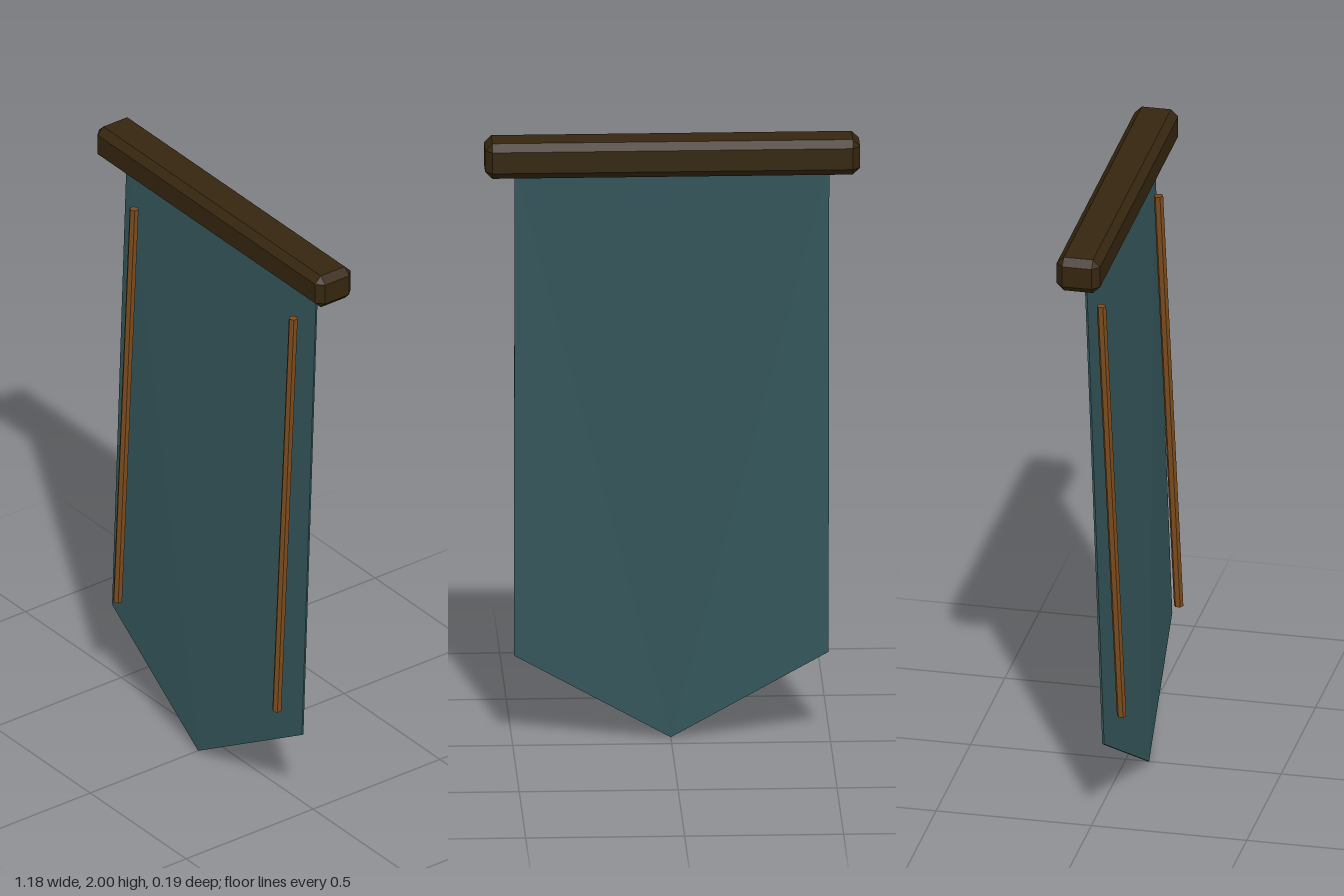
import * as THREE from 'three';
import { ConvexGeometry } from 'three/addons/geometries/ConvexGeometry.js';

const material = (name, color) => {
  const m = new THREE.MeshStandardMaterial({ color });
  m.name = name;
  return m;
};

// Box with every edge and corner chamfered
function chamferedBox(w, h, d, c) {
  const points = [];
  for (const x of [-1, 1]) for (const y of [-1, 1]) for (const z of [-1, 1]) {
    for (let axis = 0; axis < 3; axis++) {
      const half = [w / 2 - c, h / 2 - c, d / 2 - c];
      half[axis] += c;
      points.push(new THREE.Vector3(x * half[0], y * half[1], z * half[2]));
    }
  }
  return new ConvexGeometry(points);
}

// Thin closed pennant, folded forward towards its tip
function pennant(thickness) {
  const outline = [
    [-0.495, 1.9, -0.02], [-0.495, 0.285, 0.037], [0, 0, 0.072],
    [0.495, 0.285, 0.037], [0.495, 1.9, -0.02],
  ];
  const n = outline.length;
  const positions = [];
  const corner = (i, back) => {
    const [x, y, z] = outline[i % n];
    positions.push(x, y, z + (back ? -1 : 1) * thickness / 2);
  };
  for (const [a, b, c] of [[0, 2, 4], [0, 1, 2], [4, 2, 3]]) {
    corner(a, false); corner(b, false); corner(c, false);
    corner(a, true); corner(c, true); corner(b, true);
  }
  for (let i = 0; i < n; i++) {
    corner(i, false); corner(i, true); corner(i + 1, true);
    corner(i, false); corner(i + 1, true); corner(i + 1, false);
  }
  const geometry = new THREE.BufferGeometry();
  geometry.setAttribute('position', new THREE.Float32BufferAttribute(positions, 3));
  geometry.computeVertexNormals();
  return geometry;
}

export function createModel() {
  const group = new THREE.Group();
  group.name = 'banner';
  const darkWood = material('dark wood', 0x35260f);
  const cloth = material('teal cloth', 0x34565b);
  const bronze = material('bronze trim', 0x7a4a1c);
  bronze.flatShading = true;

  const add = (name, geometry, mat) => {
    const mesh = new THREE.Mesh(geometry, mat);
    mesh.name = name;
    group.add(mesh);
    return mesh;
  };

  // Top bar
  add('topBar', chamferedBox(1.18, 0.115, 0.14, 0.023), darkWood).position.set(0, 1.9425, -0.027);

  // Hanging cloth
  add('cloth', pennant(0.006), cloth);

  // Six-sided trim rods, leaning with the cloth
  for (const [side, x] of [['left', 0.415], ['right', -0.415]]) {
    const rod = add(side + 'TrimRod', new THREE.CylinderGeometry(0.015, 0.015, 1.42, 6), bronze);
    rod.position.set(x, 1.06, 0.046);
    rod.rotation.x = -Math.atan(0.065 / 1.42);
  }
  return group;
}
